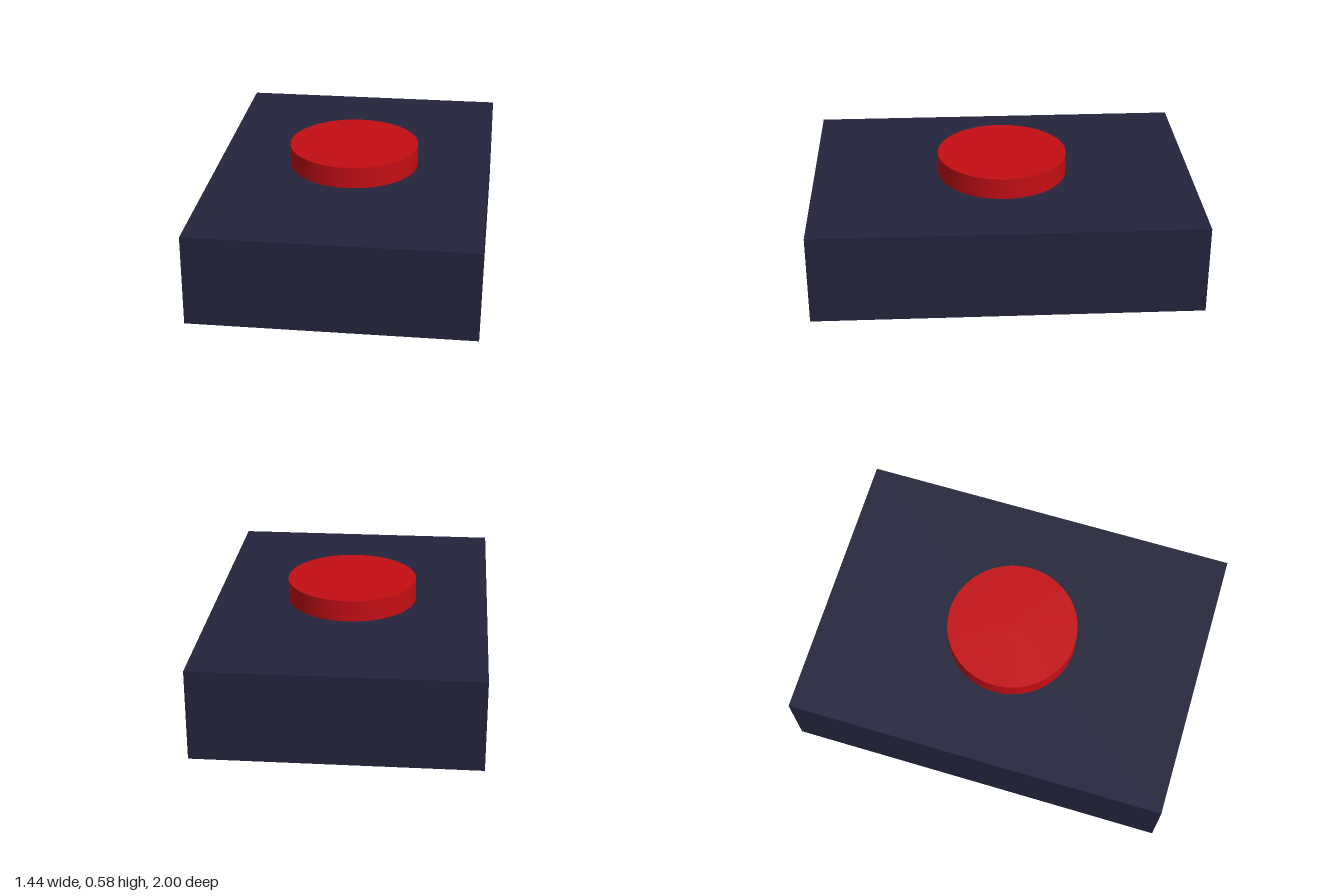
import * as THREE from 'three';

export function createModel() {
  const model = new THREE.Group();
  const baseHeight = 0.47, buttonHeight = 0.112;

  const add = (name, geometry, color, y) => {
    const mesh = new THREE.Mesh(geometry, new THREE.MeshStandardMaterial({ color }));
    mesh.name = name;
    mesh.position.y = y;
    model.add(mesh);
  };

  // Rectangular housing
  add('base', new THREE.BoxGeometry(1.44, baseHeight, 2), 0x23253b, baseHeight / 2);

  // Round push button resting on the housing
  add('button', new THREE.CylinderGeometry(0.341, 0.341, buttonHeight, 64), 0xc40e14,
    baseHeight + buttonHeight / 2);

  return model;
}
